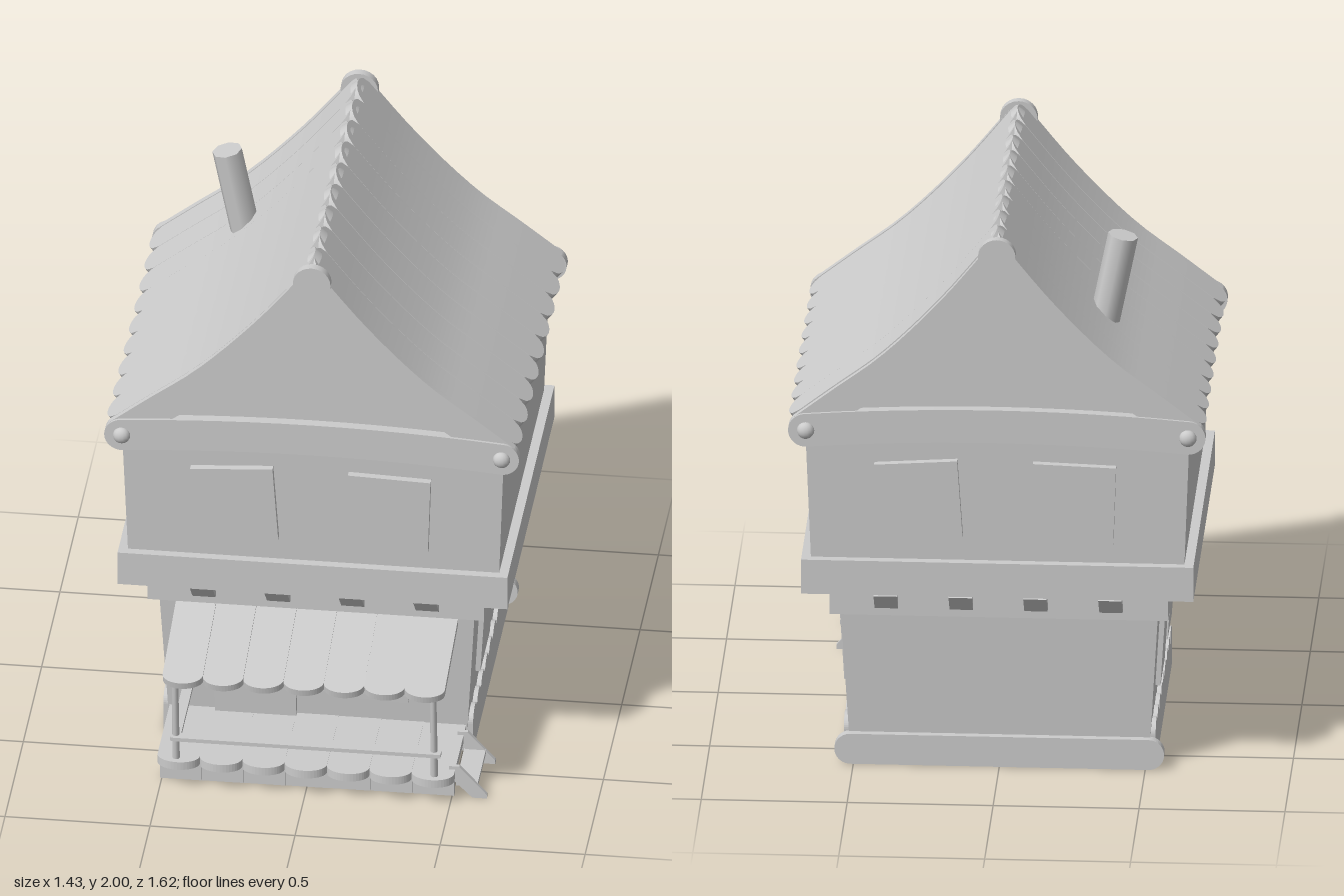
import * as THREE from 'three';

const mat = new THREE.MeshStandardMaterial({ color: 0xcccccc, side: THREE.DoubleSide });
const C = -0.118; // z of the house centre

function add(parent, name, geo, x = 0, y = 0, z = 0) {
  const m = new THREE.Mesh(geo, mat);
  m.name = name;
  m.position.set(x, y, z);
  parent.add(m);
  return m;
}

function group(parent, name, z = 0) {
  const g = new THREE.Group();
  g.name = name;
  g.position.z = z;
  parent.add(g);
  return g;
}

const box = (w, h, d) => new THREE.BoxGeometry(w, h, d);
const wobble = (i) => Math.sin(i * 12.9 + 1.3);

// Four-sided block from y0 to y1 that flares by a factor towards the top
function flared(hx, hz, y0, y1, flare = 1, open = false) {
  const g = new THREE.CylinderGeometry(flare * Math.SQRT2, Math.SQRT2, y1 - y0, 4, 1, open, Math.PI / 4)
    .toNonIndexed();
  g.scale(hx, 1, hz).translate(0, (y0 + y1) / 2, 0);
  g.computeVertexNormals();
  return g;
}

// Flat board along +y with one rounded end
function board(w, len, t, d) {
  const s = new THREE.Shape();
  s.moveTo(-w / 2, 0);
  s.lineTo(w / 2, 0);
  s.absellipse(0, len - d, w / 2, d, 0, Math.PI);
  s.closePath();
  return new THREE.ExtrudeGeometry(s, { depth: t, bevelEnabled: false, curveSegments: 10 });
}

// Horizontal beam with round ends and an optional arch
function roundBeam(half, y, r, arch, depth) {
  const s = new THREE.Shape();
  s.moveTo(-half, y - r);
  s.quadraticCurveTo(0, y - r + arch, half, y - r);
  s.absarc(half, y, r, -Math.PI / 2, Math.PI / 2);
  s.quadraticCurveTo(0, y + r + arch, -half, y + r);
  s.absarc(-half, y, r, Math.PI / 2, Math.PI * 1.5);
  return new THREE.ExtrudeGeometry(s, { depth, bevelEnabled: false, curveSegments: 12 });
}

// Sagging roof line from ridge to eave
const slope = new THREE.CatmullRomCurve3(
  [[0, 2], [0.2, 1.755], [0.4, 1.553], [0.56, 1.43], [0.715, 1.31]].map(([x, y]) => new THREE.Vector3(x, y, 0)));

// Box bent along the roof line; d rounds both ends, lift moves it off the line
function bent(u0, u1, t, w, d, lift = 0) {
  const g = new THREE.BoxGeometry(1, t, w, 14, 1, d ? 10 : 1);
  const p = g.attributes.position;
  const len = slope.getLength() * (u1 - u0);
  for (let i = 0; i < p.count; i++) {
    const k = Math.min(1, Math.abs(p.getZ(i)) / (w / 2));
    const cut = (2 * d * (1 - Math.sqrt(1 - k * k))) / len;
    const u = u0 + (u1 - u0) * (0.5 + p.getX(i) * (1 - cut));
    const q = slope.getPointAt(THREE.MathUtils.clamp(u, 0, 1));
    const n = slope.getTangentAt(THREE.MathUtils.clamp(u, 0, 1));
    const h = p.getY(i) - t / 2 + lift;
    p.setXYZ(i, q.x - n.y * h, q.y + n.x * h, p.getZ(i));
  }
  g.computeVertexNormals();
  return g;
}

// Raised panel on a wall: angle turns it to a side, roll tilts it, lean follows the wall
function panel(parent, name, w, h, x, y, z, angle = 0, roll = 0, lean = 0.05) {
  const m = add(parent, name, box(w, h, 0.045), x, y, z);
  m.rotation.set(lean, angle, roll, 'YXZ');
}

function buildBody(house) {
  add(house, 'lowerWalls', flared(0.51, 0.488, 0, 0.56, 1.065, true));
  add(house, 'lowerLedge', flared(0.58, 0.548, 0.56, 0.67));
  add(house, 'upperLedge', flared(0.672, 0.643, 0.67, 0.795));
  add(house, 'upperWalls', flared(0.64, 0.612, 0.795, 1.3, 1.03));

  // Slanted brackets under the ledge, and upper windows on both gable ends
  for (let side = 0; side < 4; side++) {
    const g = group(house, 'wallSide');
    g.rotation.y = (side * Math.PI) / 2;
    const dist = side % 2 ? 0.612 : 0.58;
    for (const x of [-0.385, -0.128, 0.128, 0.385])
      add(g, 'bracket', box(0.08, 0.1, 0.025), x, 0.632, dist).rotation.x = Math.PI / 4;
    if (side % 2 === 0) {
      panel(g, 'upperWindow', 0.285, 0.285, -0.27, 1.02, 0.622, 0, 0.065, 0.035);
      panel(g, 'upperWindow', 0.285, 0.285, 0.26, 1.02, 0.622, 0, -0.035, 0.035);
    }
  }

  // Lower side windows and scalloped base boards
  for (const s of [-1, 1]) {
    const turn = (s * Math.PI) / 2;
    panel(house, 'sideWindow', 0.258, 0.255, s * 0.527, 0.367, 0.22, turn, s * 0.03, 0.062);
    panel(house, 'sideWindow', 0.258, 0.255, s * 0.527, 0.367, -0.205, turn, 0, 0.062);
    for (let i = 0; i < 9; i++) {
      const b = add(house, 'baseBoard', board(0.108, 0.155 + 0.004 * wobble(i), 0.022, 0.045),
        s * 0.512, 0, (i - 4) * 0.108);
      b.rotation.y = turn;
    }
  }
  add(house, 'backBaseBeam', roundBeam(0.51, 0.055, 0.055, 0, 0.035), 0, 0, -0.52);
}

function buildRoof(house) {
  // Solid gable under the roof boards
  const line = slope.getPoints(10).map((p) => new THREE.Vector2(p.x * 0.92, p.y - 0.035));
  const gable = new THREE.Shape([
    ...line, new THREE.Vector2(0.655, 1.26), new THREE.Vector2(-0.655, 1.26),
    ...line.slice(1).reverse().map((p) => new THREE.Vector2(-p.x, p.y))]);
  add(house, 'gable', new THREE.ExtrudeGeometry(gable, { depth: 1.25, bevelEnabled: false }), 0, 0, -0.625);

  // The same half roof and end trim, turned half round for the other side
  for (let side = 0; side < 2; side++) {
    const half = group(house, 'roofHalf');
    half.rotation.y = side * Math.PI;
    for (let i = 0; i < 9; i++)
      add(half, 'roofBoard', bent(0, 1, 0.03, 0.1415, 0.05, 0.004 * wobble(i + side * 5)), 0, 0, (i - 4) * 0.141);
    for (const z of [-0.645, 0.645])
      add(half, 'bargeBoard', bent(0.05, 0.98, 0.11, 0.025, 0), 0, 0, z);

    add(half, 'gableBeam', roundBeam(0.655, 1.28, 0.06, 0.055, 0.035), 0, 0, 0.632);
    const cap = add(half, 'ridgeDisc', new THREE.CylinderGeometry(0.065, 0.065, 0.03, 24), 0, 1.928, 0.65);
    cap.rotation.x = Math.PI / 2;
    for (const x of [-0.655, 0.655]) {
      const peg = add(half, 'peg', new THREE.SphereGeometry(0.03, 14, 10), x, 1.28, 0.667);
      peg.scale.z = 0.8;
    }
  }

  // Leaning stovepipe
  const pipe = add(house, 'chimney', new THREE.CylinderGeometry(0.052, 0.052, 0.46, 8), -0.365, 1.645, -0.28);
  pipe.rotation.z = 0.2;
}

function buildPorch(root) {
  const porch = group(root, 'porch');
  panel(porch, 'door', 0.28, 0.42, -0.215, 0.3, 0.385, 0, 0.02);
  panel(porch, 'frontWindow', 0.27, 0.28, 0.185, 0.34, 0.385, 0, -0.04);
  add(porch, 'doorKnob', new THREE.SphereGeometry(0.02, 12, 8), -0.13, 0.25, 0.415);

  // Deck, skirt and awning boards
  for (let i = 0; i < 7; i++) {
    const k = i - 3;
    const deck = add(porch, 'deckBoard', board(0.146, 0.385, 0.03, 0.05), k * 0.146, 0.108 + 0.005 * wobble(i), 0.37);
    deck.rotation.x = Math.PI / 2;
    add(porch, 'skirtBoard', box(0.144, 0.09, 0.02), k * 0.145, 0.045, 0.665 + 0.004 * wobble(i + 3));
    const roof = add(porch, 'awningBoard', board(0.139, 0.435, 0.025, 0.045), k * 0.139, 0.55, 0.38);
    roof.rotation.set(Math.PI / 2 + 0.2 + 0.012 * wobble(i + 2), 0.04 * wobble(i), 0);
  }
  add(porch, 'deckBeam', box(1, 0.02, 0.28), 0, 0.04, 0.52);
  add(porch, 'awningBeam', box(0.93, 0.025, 0.025), 0, 0.448, 0.742);

  // Posts and rails
  for (const x of [-0.445, 0.445]) {
    const post = add(porch, 'post', new THREE.CylinderGeometry(0.011, 0.013, 0.36, 8), x, 0.28, 0.737);
    post.rotation.x = 0.09;
  }
  add(porch, 'frontRail', box(0.93, 0.014, 0.035), 0.005, 0.203, 0.738);
  add(porch, 'sideRail', box(0.035, 0.014, 0.36), -0.445, 0.203, 0.57);

  // Short stair on the side
  const stringer = new THREE.Shape();
  [[0.49, 0.12], [0.525, 0.12], [0.62, 0.015], [0.62, 0], [0.57, 0], [0.49, 0.08]]
    .forEach(([x, y], i) => (i ? stringer.lineTo(x, y) : stringer.moveTo(x, y)));
  for (const z of [0.43, 0.66])
    add(porch, 'stairStringer', new THREE.ExtrudeGeometry(stringer, { depth: 0.015, bevelEnabled: false }), 0, 0, z);
  add(porch, 'stairTread', box(0.075, 0.015, 0.225), 0.55, 0.045, 0.55);
}

export function createModel() {
  const root = new THREE.Group();
  root.name = 'cottage';
  const house = group(root, 'house', C);
  buildBody(house);
  buildRoof(house);
  buildPorch(root);
  return root;
}
